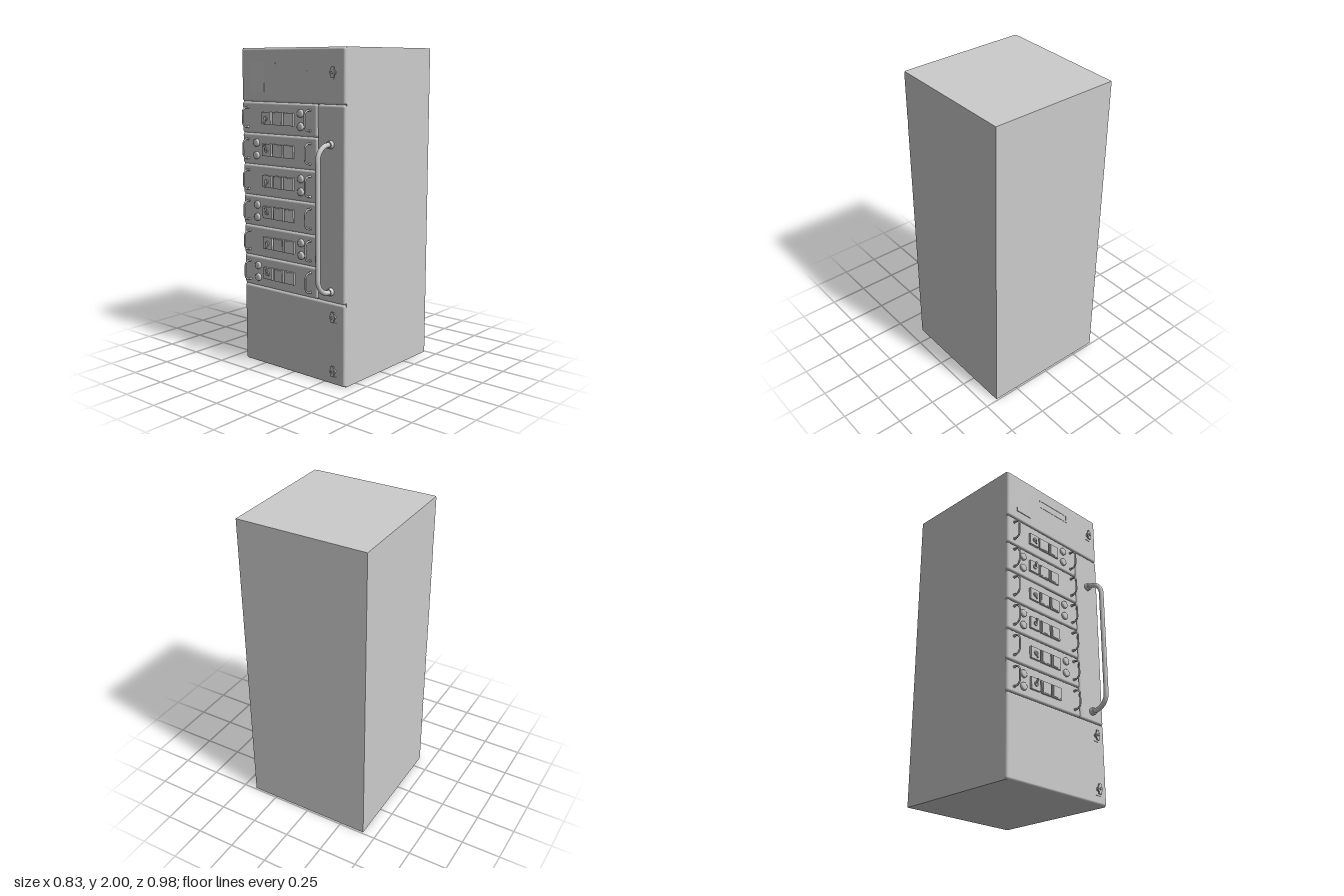
import * as THREE from 'three';
import { RoundedBoxGeometry } from 'three/addons/geometries/RoundedBoxGeometry.js';

const mat = new THREE.MeshStandardMaterial({ color: 0xcccccc });
const FRONT = 0.357; // plane of the panel faces
const EDGE = 0.015; // rounding of the panel edges

function add(parent, name, geometry, x = 0, y = 0, z = 0) {
  const mesh = new THREE.Mesh(geometry, mat);
  mesh.name = name;
  mesh.position.set(x, y, z);
  parent.add(mesh);
  return mesh;
}

function panel(parent, name, x0, x1, y0, y1) {
  const geometry = new RoundedBoxGeometry(x1 - x0, y1 - y0, 2 * EDGE + 0.002, 4, EDGE);
  return add(parent, name, geometry, (x0 + x1) / 2, (y0 + y1) / 2, FRONT - EDGE - 0.001);
}

// Box standing out from the panel face by the given height
function plate(parent, name, x, y, w, h, height) {
  return add(parent, name, new THREE.BoxGeometry(w, h, height + 0.004), x, y, FRONT + height / 2 - 0.002);
}

// Round part whose axis points forward
function disc(parent, name, x, y, rFront, rBack, height) {
  const geometry = new THREE.CylinderGeometry(rFront, rBack, height, 24).rotateX(Math.PI / 2);
  return add(parent, name, geometry, x, y, FRONT + height / 2);
}

// Upright bow handle with rounded corners and a collar at each foot
function bowHandle(parent, name, x, y, half, reach, radius, bend, collar, collarHeight) {
  const group = new THREE.Group();
  group.name = name;
  const v = (py, pz) => new THREE.Vector3(0, py, pz);
  const path = new THREE.CurvePath();
  path.add(new THREE.LineCurve3(v(-half, -0.005), v(-half, reach - bend)));
  const arcs = [-1, 1].map((s) => {
    const points = [];
    for (let i = 0; i <= 10; i++) {
      const a = (i / 10) * Math.PI / 2;
      points.push(v(s * (half - bend + bend * Math.cos(a)), reach - bend + bend * Math.sin(a)));
    }
    return s < 0 ? points : points.reverse();
  });
  path.add(new THREE.CatmullRomCurve3(arcs[0]));
  path.add(new THREE.LineCurve3(v(bend - half, reach), v(half - bend, reach)));
  path.add(new THREE.CatmullRomCurve3(arcs[1]));
  path.add(new THREE.LineCurve3(v(half, reach - bend), v(half, -0.005)));
  add(group, 'handleBar', new THREE.TubeGeometry(path, 72, radius, 14), 0, 0, FRONT);
  for (const s of [-1, 1]) disc(group, 'handleCollar', 0, s * half, collar * 0.9, collar, collarHeight);
  group.position.set(x, y, 0);
  parent.add(group);
}

// Turn latch: short stem with a waisted key plate
function latch(parent, x, y) {
  const group = new THREE.Group();
  group.name = 'latch';
  disc(group, 'latchBase', 0, 0, 0.013, 0.013, 0.006);
  disc(group, 'latchStem', 0, 0, 0.008, 0.008, 0.028);
  const outline = [[0.009, -0.032], [0.011, -0.018], [0.018, -0.008], [0.018, 0.008], [0.011, 0.018], [0.009, 0.032]];
  const mirrored = outline.map(([px, py]) => [-px, py]).reverse();
  const shape = new THREE.Shape([...outline, ...mirrored].map(([px, py]) => new THREE.Vector2(px, py)));
  add(group, 'latchKey', new THREE.ExtrudeGeometry(shape, { depth: 0.008, bevelEnabled: false }), 0, 0, FRONT + 0.013);
  plate(group, 'latchStop', 0, -0.037, 0.034, 0.003, 0.004);
  group.position.set(x, y, 0);
  parent.add(group);
}

// Square push button: bezel with a tilted rocker cap
function rocker(parent, x, tilt) {
  plate(parent, 'rockerBezel', x, 0, 0.078, 0.078, 0.012);
  const cap = add(parent, 'rockerCap', new THREE.BoxGeometry(0.064, 0.066, 0.012), x, 0, FRONT + 0.008);
  cap.rotation.y = tilt;
}

function drawer(parent, index, y0, y1) {
  const group = new THREE.Group();
  group.name = 'drawerUnit' + (index + 1);
  group.position.y = (y0 + y1) / 2;
  parent.add(group);
  const half = (y1 - y0) / 2;
  panel(group, 'drawerFront', -0.415, 0.205, -half, half);
  for (const x of [-0.363, 0.15]) bowHandle(group, 'drawerHandle', x, 0, 0.06, 0.047, 0.0055, 0.032, 0.008, 0.009);

  // Toggle switch, alternating up and down
  const flip = index % 2 ? 1 : -1;
  plate(group, 'switchPlate', -0.197, 0, 0.075, 0.075, 0.014);
  disc(group, 'switchCollar', -0.197, 0, 0.014, 0.016, 0.021);
  const lever = add(group, 'switchLever', new THREE.CylinderGeometry(0.007, 0.004, 0.036, 12), -0.197, flip * 0.014, FRONT + 0.024);
  lever.rotation.x = flip * 0.3;

  rocker(group, -0.106, 0);
  rocker(group, -0.017, 0.06);

  // Pair of round knobs, alternating sides
  const knobX = index % 2 ? -0.29 : 0.077;
  for (const s of [-1, 1]) {
    const profile = [[0.024, -0.003], [0.024, 0.007], [0.022, 0.012], [0.018, 0.015], [0, 0.015]];
    const geometry = new THREE.LatheGeometry(profile.map(([r, h]) => new THREE.Vector2(r, h)), 24).rotateX(Math.PI / 2);
    add(group, 'knob', geometry, knobX, s * 0.039, FRONT);
  }
}

export function createModel() {
  const model = new THREE.Group();
  model.name = 'equipmentCabinet';

  // Cabinet body
  const bodyDepth = FRONT - EDGE + 0.49;
  add(model, 'cabinetBody', new THREE.BoxGeometry(0.83, 2, bodyDepth), 0, 1, -0.49 + bodyDepth / 2);

  // Front panels
  const low = 0.507, high = 1.675;
  panel(model, 'bottomPanel', -0.415, 0.415, 0, low);
  panel(model, 'topPanel', -0.415, 0.415, high, 2);
  panel(model, 'sidePanel', 0.205, 0.415, low, high);

  // Stack of drawer units, from the top down
  const pitch = (high - low) / 6;
  for (let i = 0; i < 6; i++) drawer(model, i, high - (i + 1) * pitch, high - i * pitch);

  // Long door handle
  bowHandle(model, 'doorHandle', 0.31, 1.01, 0.436, 0.118, 0.015, 0.09, 0.024, 0.023);

  // Latches on the top and bottom panels
  for (const y of [1.857, 0.425, 0.09]) latch(model, 0.335, y);

  // Display frame and label plate on the top panel
  const frame = new THREE.Shape([[-0.128, -0.027], [0.128, -0.027], [0.128, 0.027], [-0.128, 0.027]].map((p) => new THREE.Vector2(...p)));
  frame.holes.push(new THREE.Path([[-0.122, -0.021], [-0.122, 0.021], [0.122, 0.021], [0.122, -0.021]].map((p) => new THREE.Vector2(...p))));
  add(model, 'displayFrame', new THREE.ExtrudeGeometry(frame, { depth: 0.003, bevelEnabled: false }), -0.002, 1.89, FRONT - 0.001);
  const label = plate(model, 'labelPlate', -0.28, 1.826, 0.12, 0.182, 0.003);
  label.rotation.x = -0.015;

  return model;
}
